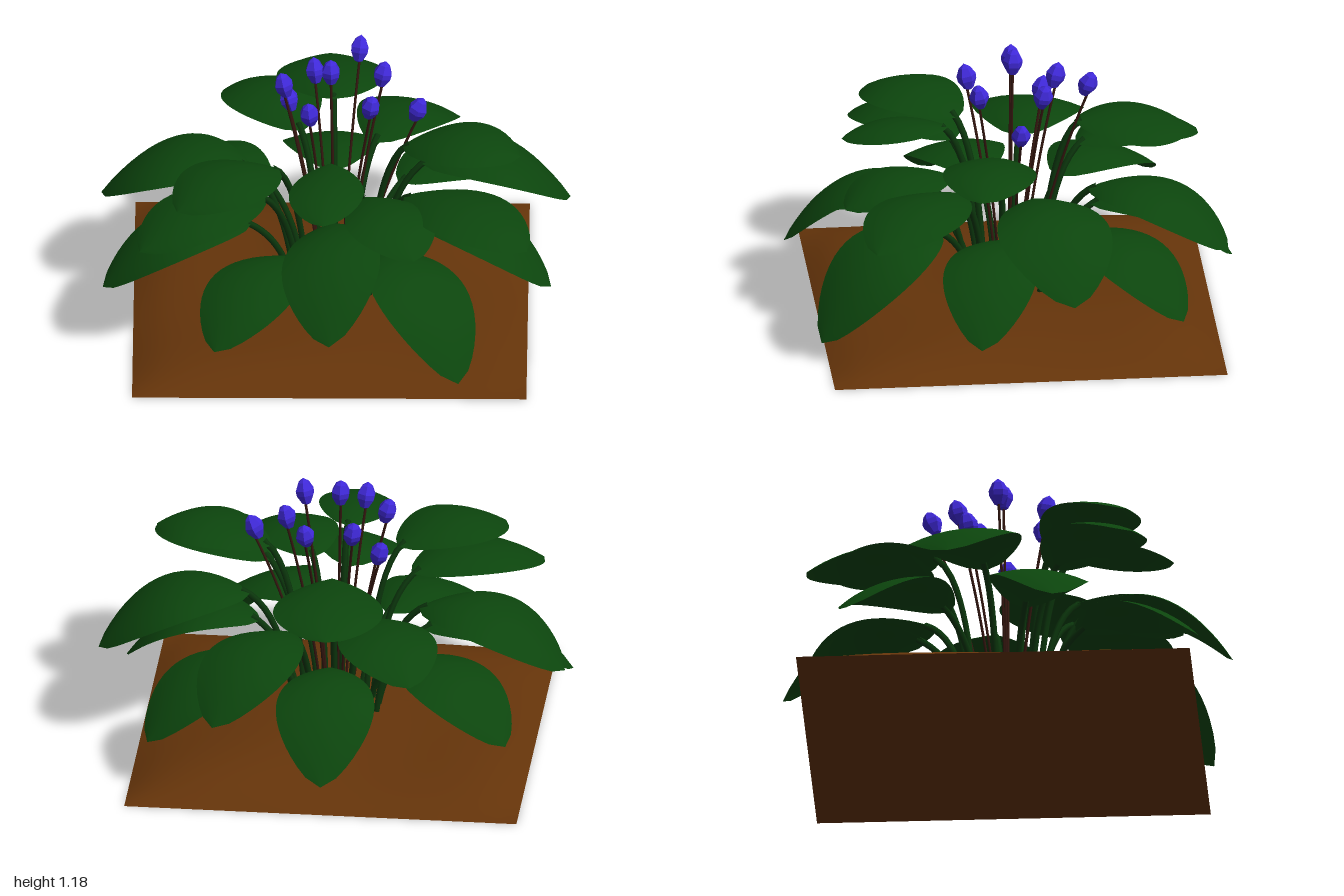
import * as THREE from 'three';

const V = (x, y, z) => new THREE.Vector3(x, y, z);
const mat = (color, extra = {}) => new THREE.MeshStandardMaterial({ color, ...extra });
const leafMat = mat(0x0c450d, { side: THREE.DoubleSide });
const petioleMat = mat(0x0b360c);
const soilMat = mat(0x65340a);
const stemMat = mat(0x35170f);
const budMat = mat(0x4029da, { flatShading: true });

// Each leaf: tip x, y, z, blade base height, half width, rise of the arch, sideways roll
const LEAVES = [
  // low ring
  [0.53, 0.09, 0.85, 0.44, 0.22, 0.14, -0.12], [0.92, 0.20, 0.20, 0.45, 0.20, 0.15, 0],
  [0.74, 0.22, -0.68, 0.45, 0.20, 0.15, 0], [-0.03, 0.18, -0.96, 0.45, 0.21, 0.15, 0],
  [-0.79, 0.26, -0.65, 0.46, 0.21, 0.15, 0], [-0.99, 0.21, 0.24, 0.44, 0.21, 0.16, 0],
  [-0.51, 0.23, 0.83, 0.40, 0.20, 0.14, 0],
  // middle ring
  [-0.02, 0.33, 0.96, 0.59, 0.21, 0.16, 0.15], [0.82, 0.62, 0.64, 0.66, 0.21, 0.15, 0],
  [1.0, 0.42, -0.19, 0.65, 0.245, 0.17, 0], [0.44, 0.41, -0.90, 0.60, 0.21, 0.16, 0],
  [-0.40, 0.61, -0.84, 0.67, 0.21, 0.15, 0], [-1.0, 0.42, -0.21, 0.62, 0.24, 0.17, 0],
  [-0.83, 0.57, 0.57, 0.64, 0.21, 0.15, 0],
  // top ring
  [-0.05, 0.78, 0.71, 0.83, 0.16, 0.06, 0.06], [0.34, 0.62, 0.73, 0.67, 0.19, 0.12, 0],
  [0.79, 0.83, 0.19, 0.81, 0.20, 0.16, 0], [-0.03, 0.78, -0.78, 0.84, 0.235, 0.06, 0],
  [-0.67, 0.75, 0.54, 0.77, 0.21, 0.15, 0],
];

// Flower buds: centre x, y, z
const BUDS = [
  [-0.02, 1.12, -0.02], [0.10, 1.06, -0.33], [-0.09, 1.02, -0.21], [-0.20, 0.91, -0.16], [-0.22, 1.05, -0.03],
  [0.20, 1.05, -0.13], [0.35, 0.94, -0.02], [0.15, 1.04, 0.14], [-0.11, 1.02, 0.17],
];

// Blade: a drooping midrib curve widened sideways, with a shallow fold along it
function bladeGeometry(midrib, side, halfWidth) {
  const rows = 18, cols = 8, pos = [], index = [];
  for (let i = 0; i <= rows; i++) {
    const t = i / rows, p = midrib.getPoint(t);
    const w = halfWidth * Math.pow(Math.max(0, Math.sin(Math.PI * t)), 0.66);
    for (let j = 0; j <= cols; j++) {
      const s = (j / cols) * 2 - 1;
      const drop = 0.2 * w * s * s;
      pos.push(p.x + side.x * w * s, p.y + side.y * w * s - drop, p.z + side.z * w * s);
      if (i < rows && j < cols) {
        const a = i * (cols + 1) + j, b = a + cols + 1;
        index.push(a, a + 1, b, a + 1, b + 1, b);
      }
    }
  }
  const g = new THREE.BufferGeometry();
  g.setAttribute('position', new THREE.Float32BufferAttribute(pos, 3));
  g.setIndex(index);
  g.computeVertexNormals();
  return g;
}

function makeLeaf([x, y, z, h, halfWidth, rise, roll]) {
  const leaf = new THREE.Group();
  leaf.name = 'leaf';
  const base = V(x * 0.36, h, z * 0.36);
  const midrib = new THREE.QuadraticBezierCurve3(base, V(x * 0.72, h + rise, z * 0.72), V(x, y, z));
  const side = V(z, 0, -x).normalize().setY(roll);
  const blade = new THREE.Mesh(bladeGeometry(midrib, side, halfWidth), leafMat);
  blade.name = 'leafBlade';

  // Leaf stalk, nearly upright before it bends out into the blade
  const stalk = new THREE.CubicBezierCurve3(
    V(x * 0.17, 0.06, z * 0.17), V(x * 0.2, h * 0.5, z * 0.2), V(x * 0.25, h - 0.06, z * 0.25),
    midrib.getPoint(0.06));
  const petiole = new THREE.Mesh(new THREE.TubeGeometry(stalk, 14, 0.014, 6), petioleMat);
  petiole.name = 'leafStalk';
  leaf.add(blade, petiole);
  return leaf;
}

function makeFlower([x, y, z]) {
  const flower = new THREE.Group();
  flower.name = 'flower';
  const root = V(x * 0.25, 0.07, z * 0.25);
  const path = new THREE.QuadraticBezierCurve3(root, V(x * 0.5, y * 0.55, z * 0.5), V(x, y - 0.04, z));
  const stem = new THREE.Mesh(new THREE.TubeGeometry(path, 12, 0.006, 5), stemMat);
  stem.name = 'flowerStem';

  // Closed bud with six sides, leaning with its stem
  const profile = [[0, -0.06], [0.02, -0.052], [0.04, -0.015], [0.042, 0.008], [0.025, 0.042], [0, 0.06]];
  const bud = new THREE.Mesh(
    new THREE.LatheGeometry(profile.map(([r, h]) => new THREE.Vector2(r, h)), 6), budMat);
  bud.name = 'flowerBud';
  bud.position.set(x, y, z);
  bud.quaternion.setFromUnitVectors(V(0, 1, 0), path.getTangent(1));
  flower.add(stem, bud);
  return flower;
}

// Square mound of soil that falls to the ground along its edges
function makeSoil() {
  const soil = new THREE.Group();
  soil.name = 'soil';
  soil.position.set(-0.02, 0, -0.02);
  const size = 1.68, g = new THREE.PlaneGeometry(size, size, 28, 28).rotateX(-Math.PI / 2);
  const p = g.attributes.position;
  const edge = (v) => 1 - Math.pow(Math.min(1, Math.abs(v) / (size / 2)), 6);
  for (let i = 0; i < p.count; i++) {
    const x = p.getX(i), z = p.getZ(i);
    const bumps = 0.09 + 0.01 * Math.sin(5 * x + 1 + 2 * z) + 0.008 * Math.cos(6 * z - 3 * x)
      + 0.025 * Math.exp(-8 * ((x - 0.3) ** 2 + (z + 0.38) ** 2));
    p.setY(i, bumps * edge(x) * edge(z));
  }
  g.computeVertexNormals();
  const mound = new THREE.Mesh(g, soilMat);
  mound.name = 'soilMound';
  const under = new THREE.Mesh(new THREE.PlaneGeometry(size, size).rotateX(Math.PI / 2), soilMat);
  under.name = 'soilUnderside';
  soil.add(mound, under);
  return soil;
}

export function createModel() {
  const plant = new THREE.Group();
  plant.name = 'floweringPlant';
  plant.add(makeSoil());
  LEAVES.forEach((l) => plant.add(makeLeaf(l)));
  BUDS.forEach((b) => plant.add(makeFlower(b)));
  return plant;
}
